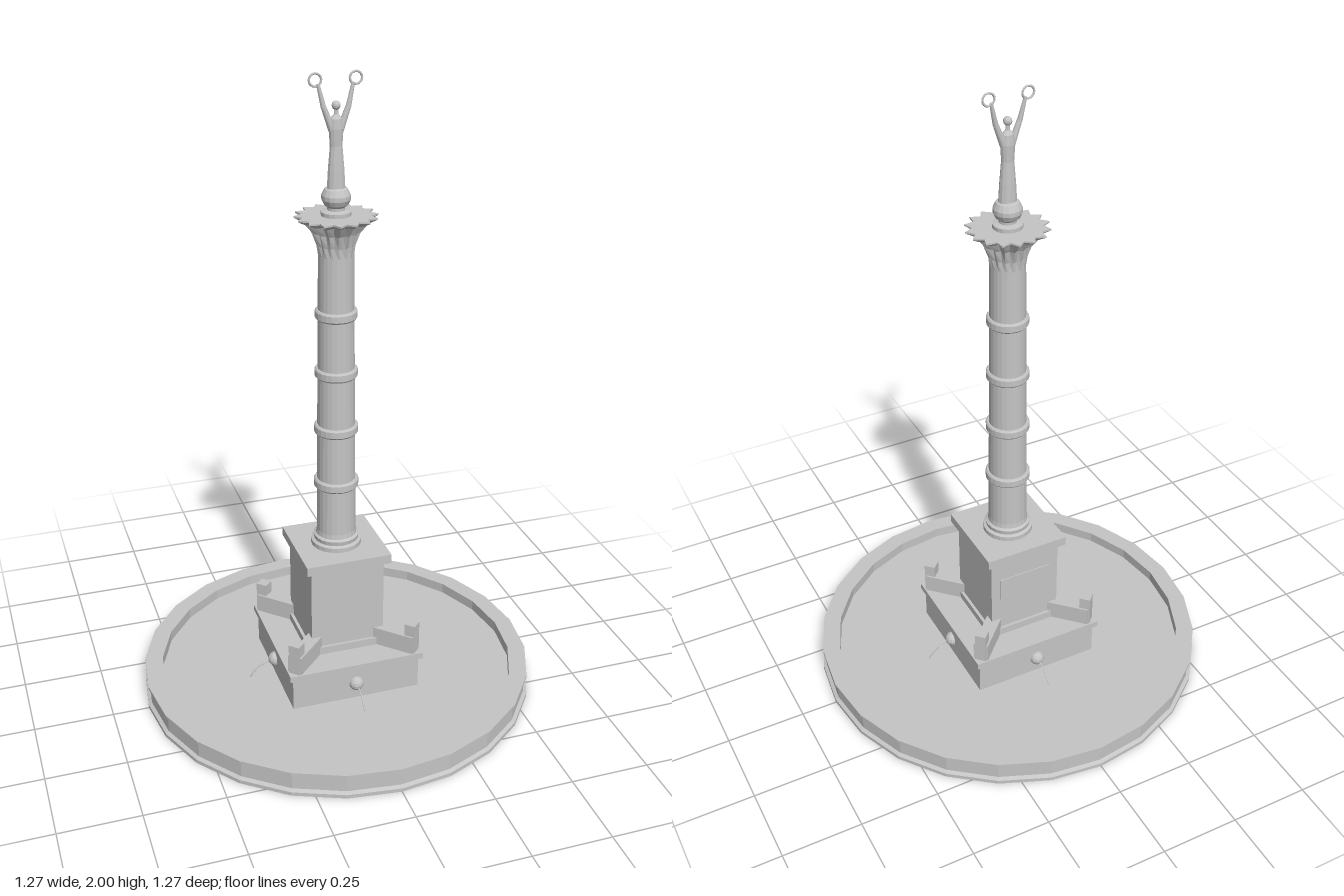
import * as THREE from 'three';

export function createModel() {
  const model = new THREE.Group();
  model.name = 'columnFountain';
  const stone = new THREE.MeshStandardMaterial({ color: 0xc4c4c4, flatShading: true });
  stone.name = 'stone';

  const add = (name, geo, x = 0, y = 0, z = 0, parent = model) => {
    const m = new THREE.Mesh(geo, stone);
    m.name = name;
    m.position.set(x, y, z);
    parent.add(m);
    return m;
  };
  const lathe = (pts, n) => new THREE.LatheGeometry(pts.map(p => new THREE.Vector2(...p)), n);
  // square slab between two heights
  const slab = (name, half, y0, y1) =>
    add(name, new THREE.BoxGeometry(half * 2, y1 - y0, half * 2), 0, (y0 + y1) / 2, 0);
  // tapered rod between two points
  const rod = (name, a, b, ra, rb, parent) => {
    const A = new THREE.Vector3(...a), B = new THREE.Vector3(...b), d = B.clone().sub(A);
    const m = add(name, new THREE.CylinderGeometry(rb, ra, d.length(), 10), 0, 0, 0, parent);
    m.position.copy(A).add(B).multiplyScalar(0.5);
    m.quaternion.setFromUnitVectors(new THREE.Vector3(0, 1, 0), d.normalize());
  };

  // Basin wall with foot and lip, and the raised floor
  const basinWall = lathe([
    [0.575, 0], [0.635, 0], [0.635, 0.012], [0.624, 0.018], [0.624, 0.066],
    [0.632, 0.072], [0.632, 0.08], [0.575, 0.08], [0.575, 0]], 24);
  add('basinWall', basinWall);
  add('basinFloor', new THREE.CylinderGeometry(0.576, 0.576, 0.008, 24), 0, 0.042, 0);

  // Pedestal
  slab('pedestalBase', 0.21, 0, 0.155);
  slab('pedestalCornice', 0.222, 0.155, 0.175);
  slab('blockFoot', 0.13, 0.175, 0.2);
  slab('block', 0.12, 0.2, 0.48);
  slab('blockCap', 0.139, 0.477, 0.507);
  add('plaque', new THREE.BoxGeometry(0.18, 0.08, 0.006), 0, 0.36, -0.121);

  // Diagonal buttresses with posts, and the spouts with their jets
  for (let i = 0; i < 4; i++) {
    const corner = new THREE.Group();
    corner.name = 'buttress';
    corner.rotation.y = Math.PI / 4 + i * Math.PI / 2;
    add('buttressArm', new THREE.BoxGeometry(0.048, 0.06, 0.15), 0, 0.205, 0.21, corner);
    add('buttressPost', new THREE.BoxGeometry(0.036, 0.1, 0.036), 0, 0.225, 0.272, corner);
    model.add(corner);

    const side = new THREE.Group();
    side.name = 'spout';
    side.rotation.y = i * Math.PI / 2;
    add('spoutBall', new THREE.SphereGeometry(0.024, 12, 8), 0, 0.1, 0.209, side);
    const path = new THREE.QuadraticBezierCurve3(
      new THREE.Vector3(0, 0.095, 0.225), new THREE.Vector3(0, 0.09, 0.275),
      new THREE.Vector3(0, 0.045, 0.295));
    add('waterJet', new THREE.TubeGeometry(path, 8, 0.0025, 6), 0, 0, 0, side);
    model.add(side);
  }

  // Column base, shaft and bands
  const columnBase = lathe([
    [0, 0.507], [0.08, 0.507], [0.08, 0.522], [0.07, 0.526], [0.072, 0.54],
    [0.064, 0.545], [0.062, 0.56]], 24);
  add('columnBase', columnBase);
  add('columnShaft', new THREE.CylinderGeometry(0.053, 0.062, 0.98, 24), 0, 1.03, 0);
  [0.725, 0.91, 1.097, 1.285].forEach((y, i) => {
    const r = 0.07 - i * 0.002;
    const band = lathe([
      [0.05, y - 0.015], [r - 0.004, y - 0.015], [r, y - 0.01], [r, y + 0.01],
      [r - 0.004, y + 0.015], [0.05, y + 0.015]], 24);
    add('columnBand', band);
  });

  // Pleated palm capital: alternate ridges pull outward toward the top
  const capital = lathe([
    [0.052, 1.46], [0.056, 1.5], [0.068, 1.54], [0.09, 1.57], [0.113, 1.583],
    [0.113, 1.588], [0, 1.588]], 32);
  const p = capital.attributes.position;
  for (let i = 0; i < p.count; i++) {
    const x = p.getX(i), z = p.getZ(i);
    const ridge = Math.round(Math.atan2(x, z) / (Math.PI / 16)) % 2 ? 1 : -1;
    const k = 1 + ridge * 0.1 * Math.min(1, Math.max(0, (p.getY(i) - 1.46) / 0.1));
    p.setX(i, x * k);
    p.setZ(i, z * k);
  }
  capital.computeVertexNormals();
  add('capital', capital);

  // Globe under the statue
  const globe = lathe([
    [0, 1.588], [0.045, 1.588], [0.045, 1.6], [0.026, 1.604], [0.026, 1.612],
    [0.036, 1.62], [0.043, 1.635], [0.043, 1.648], [0.034, 1.666], [0, 1.676]], 16);
  add('globe', globe);

  // Statue: robe, head, raised arms holding wreaths
  const statue = new THREE.Group();
  statue.name = 'statue';
  model.add(statue);
  const robe = lathe([
    [0, 1.665], [0.028, 1.665], [0.025, 1.72], [0.019, 1.79], [0.022, 1.84],
    [0.018, 1.868], [0.007, 1.88], [0.006, 1.895]], 12);
  robe.scale(1, 1, 0.8);
  add('robe', robe, 0, 0, 0, statue);
  add('head', new THREE.SphereGeometry(0.013, 10, 8), 0, 1.905, 0, statue);
  for (const s of [-1, 1]) {
    rod('upperArm', [s * 0.012, 1.835, 0], [s * 0.036, 1.9, 0], 0.011, 0.008, statue);
    rod('forearm', [s * 0.036, 1.897, 0], [s * 0.052, 1.966, -0.004], 0.008, 0.005, statue);
    add('wreath', new THREE.TorusGeometry(0.018, 0.0035, 6, 16), s * 0.06, 1.978, -0.005, statue);
  }
  return model;
}
